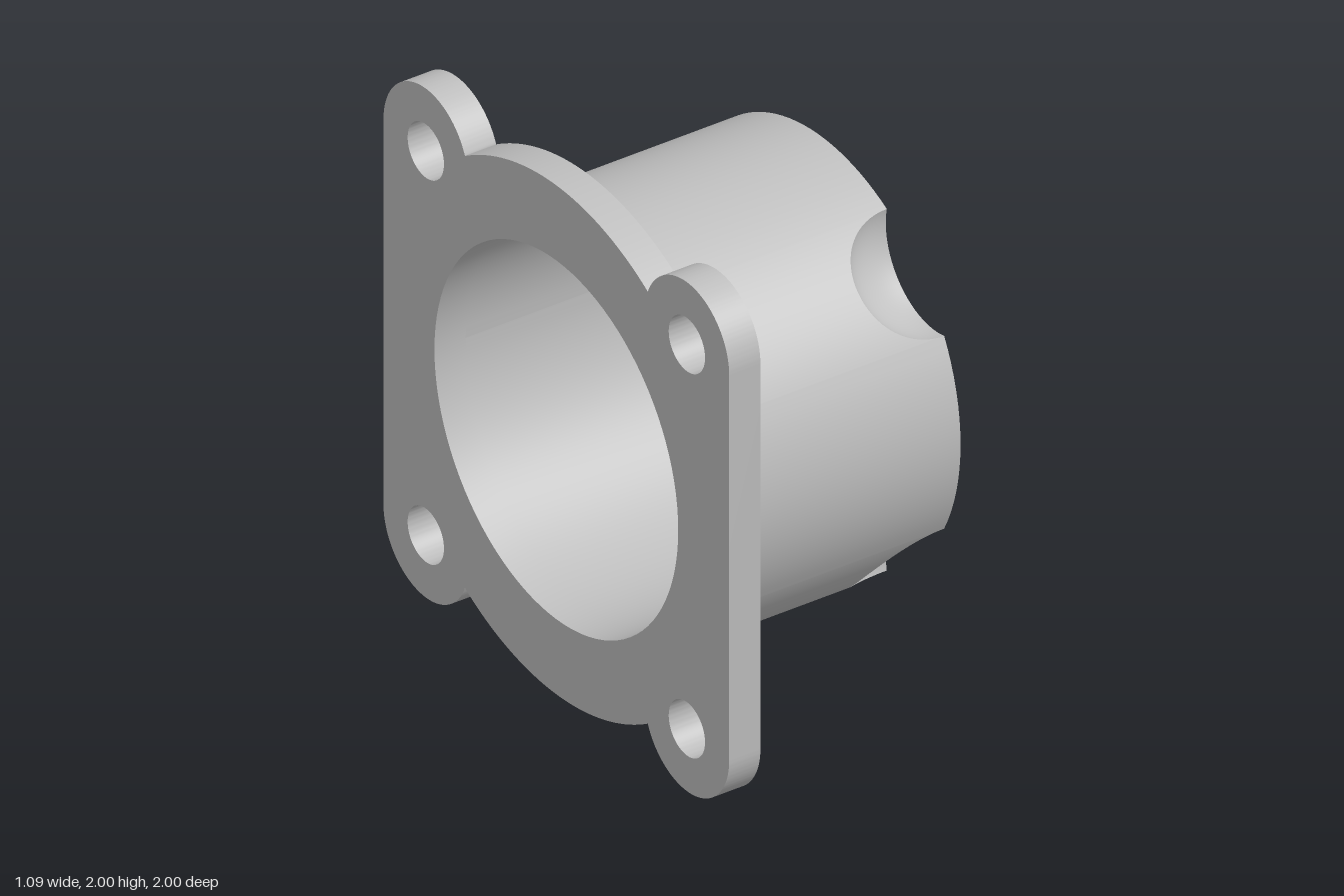
import * as THREE from 'three';
import { toCreasedNormals } from 'three/addons/utils/BufferGeometryUtils.js';

const BACK = -0.543, STEP = -0.415, END = 0.543, BORE_END = 0.34; // stations along the axis
const R = 0.805, BORE = 0.705;                                    // body and bore radii
const BITE = 0.28, BITE_AT = 0.923;                               // spherical pocket radius, distance from axis
const BITE_ANGLES = [Math.PI * 0.75, Math.PI * 1.25];
// half-angles of the pocket seen from the body axis and from the pocket centre
const BETA = Math.acos((R * R + BITE_AT ** 2 - BITE ** 2) / (2 * R * BITE_AT));
const GAMMA = Math.acos((BITE_AT ** 2 + BITE ** 2 - R * R) / (2 * BITE_AT * BITE));

const polar = (r, a) => new THREE.Vector2(r * Math.cos(a), r * Math.sin(a));
const pocketCentre = (theta) => polar(BITE_AT, theta);
const pocketRim = (theta, t) => pocketCentre(theta).add(polar(BITE, theta + Math.PI - t * GAMMA));
// height of the pocket surface at a point across the axis
const pocketDepth = (p, theta) =>
  END - Math.sqrt(Math.max(0, BITE ** 2 - p.distanceToSquared(pocketCentre(theta))));

// smooth surface from a function of (row, column)
function grid(rows, cols, fn) {
  const pos = [], index = [];
  for (let i = 0; i <= rows; i++) for (let j = 0; j <= cols; j++) pos.push(...fn(i, j));
  for (let i = 0; i < rows; i++) for (let j = 0; j < cols; j++) {
    const a = i * (cols + 1) + j, b = a + cols + 1;
    index.push(a, b, b + 1, a, b + 1, a + 1);
  }
  const g = new THREE.BufferGeometry();
  g.setAttribute('position', new THREE.Float32BufferAttribute(pos, 3));
  g.setIndex(index);
  g.computeVertexNormals();
  return g;
}

// stations round the body: outer point, cap edge point and wall end height
function bodyStations() {
  const out = [];
  const plain = (from, to, n) => {
    for (let i = 0; i <= n; i++) {
      const p = polar(R, from + (to - from) * i / n);
      out.push({ p, cap: p, z: END });
    }
  };
  const bite = (theta, n) => {
    for (let i = 1; i < n; i++) {
      const t = -Math.cos(Math.PI * i / n);
      const p = polar(R, theta + t * BETA);
      out.push({ p, cap: pocketRim(theta, t), z: pocketDepth(p, theta) });
    }
  };
  const [a, b] = BITE_ANGLES;
  plain(0, a - BETA, 40);
  bite(a, 32);
  plain(a + BETA, b - BETA, 16);
  bite(b, 32);
  plain(b + BETA, Math.PI * 2, 40);
  return out;
}

// round plate with four corner lugs and straight sides
function flangeGeometry() {
  const C = 0.755, LUG = 0.245;
  const notch = Math.atan2(0.85, 0.53), lugEnd = Math.atan2(0.095, -0.225);
  const s = new THREE.Shape();
  s.absarc(C, C, LUG, 0, lugEnd, false);
  s.absarc(0, 0, 1, notch, Math.PI - notch, false);
  s.absarc(-C, C, LUG, Math.PI - lugEnd, Math.PI, false);
  s.absarc(-C, -C, LUG, Math.PI, Math.PI + lugEnd, false);
  s.absarc(0, 0, 1, Math.PI + notch, Math.PI * 2 - notch, false);
  s.absarc(C, -C, LUG, Math.PI * 2 - lugEnd, Math.PI * 2, false);
  s.closePath();
  const hole = (x, y, r) => s.holes.push(new THREE.Path().absarc(x, y, r, 0, Math.PI * 2, true));
  hole(0, 0, BORE);
  for (const x of [-C, C]) for (const y of [-C, C]) hole(x, y, 0.105);
  const g = new THREE.ExtrudeGeometry(s, { depth: STEP - BACK, bevelEnabled: false, curveSegments: 48 });
  g.translate(0, 0, BACK);
  return toCreasedNormals(g, 0.5);
}

export function createModel() {
  const metal = new THREE.MeshStandardMaterial({ color: 0xc0c0c0 });
  metal.name = 'plain grey';
  const model = new THREE.Group();
  model.name = 'flangedCap';

  // built along local z, then turned so the axis lies along x
  const parts = new THREE.Group();
  parts.name = 'body';
  parts.rotation.y = Math.PI / 2;
  parts.position.y = 1;
  model.add(parts);
  const add = (name, geometry) => {
    const m = new THREE.Mesh(geometry, metal);
    m.name = name;
    parts.add(m);
  };

  add('flange', flangeGeometry());

  // outer wall and end cap, both cut by the pockets
  const st = bodyStations();
  add('outerWall', grid(st.length - 1, 1, (i, j) => [st[i].p.x, st[i].p.y, j ? st[i].z : STEP]));
  const cap = new THREE.ShapeGeometry(new THREE.Shape(st.slice(0, -1).map((s) => s.cap)));
  cap.translate(0, 0, END);
  add('endCap', cap);

  // spherical pockets
  for (const theta of BITE_ANGLES) {
    const n = 32, m = 14;
    add('pocket', grid(n, m, (i, j) => {
      const t = -Math.cos(Math.PI * i / n), w = 1 - (1 - j / m) ** 2;
      const p = polar(R, theta + t * BETA).lerp(pocketRim(theta, t), w);
      return [p.x, p.y, pocketDepth(p, theta)];
    }));
  }

  // blind bore, open at the flange
  add('boreWall', grid(96, 1, (i, j) => {
    const p = polar(BORE, -Math.PI * 2 * i / 96);
    return [p.x, p.y, j ? BORE_END : STEP];
  }));
  const floor = new THREE.CircleGeometry(BORE, 96);
  floor.rotateY(Math.PI);
  floor.translate(0, 0, BORE_END);
  add('boreFloor', floor);

  return model;
}
